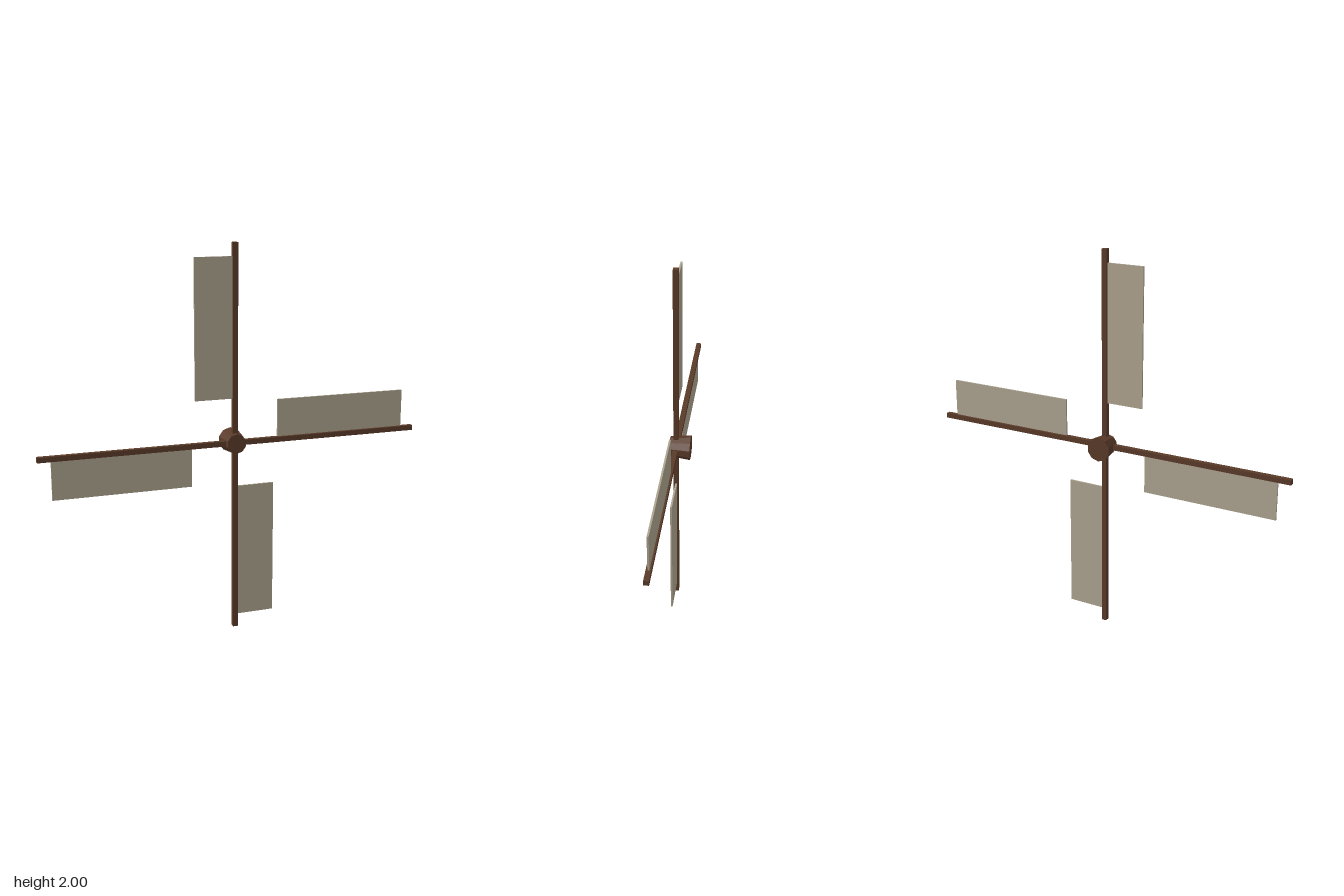
import * as THREE from 'three';

export function createModel() {
  const model = new THREE.Group();
  model.name = 'windmillSails';

  const wood = new THREE.MeshStandardMaterial({ color: 0x5a3a28 });
  wood.name = 'dark wood';
  wood.flatShading = true;
  const cloth = new THREE.MeshStandardMaterial({ color: 0xada38f });
  cloth.name = 'sail cloth';

  const add = (parent, name, geometry, material, x, y, z) => {
    const mesh = new THREE.Mesh(geometry, material);
    mesh.name = name;
    mesh.position.set(x, y, z);
    parent.add(mesh);
    return mesh;
  };

  const planeZ = 0.021; // depth at which arms and sails sit

  // Tapered hub, narrower at the front
  const hub = add(model, 'hub', new THREE.CylinderGeometry(0.051, 0.063, 0.106, 10), wood, 0, 1, 0);
  hub.rotation.x = Math.PI / 2;

  // Four arms, each carrying a sail on its counter-clockwise side
  const armGeometry = new THREE.BoxGeometry(0.026, 1, 0.026);
  const sailGeometry = new THREE.BoxGeometry(0.194, 0.704, 0.009);
  for (let i = 0; i < 4; i++) {
    const blade = new THREE.Group();
    blade.name = 'blade' + (i + 1);
    blade.position.set(0, 1, planeZ);
    blade.rotation.z = i * Math.PI / 2;
    add(blade, 'arm', armGeometry, wood, 0, 0.5, 0);
    add(blade, 'sail', sailGeometry, cloth, -0.112, 0.581, 0);
    model.add(blade);
  }
  return model;
}
